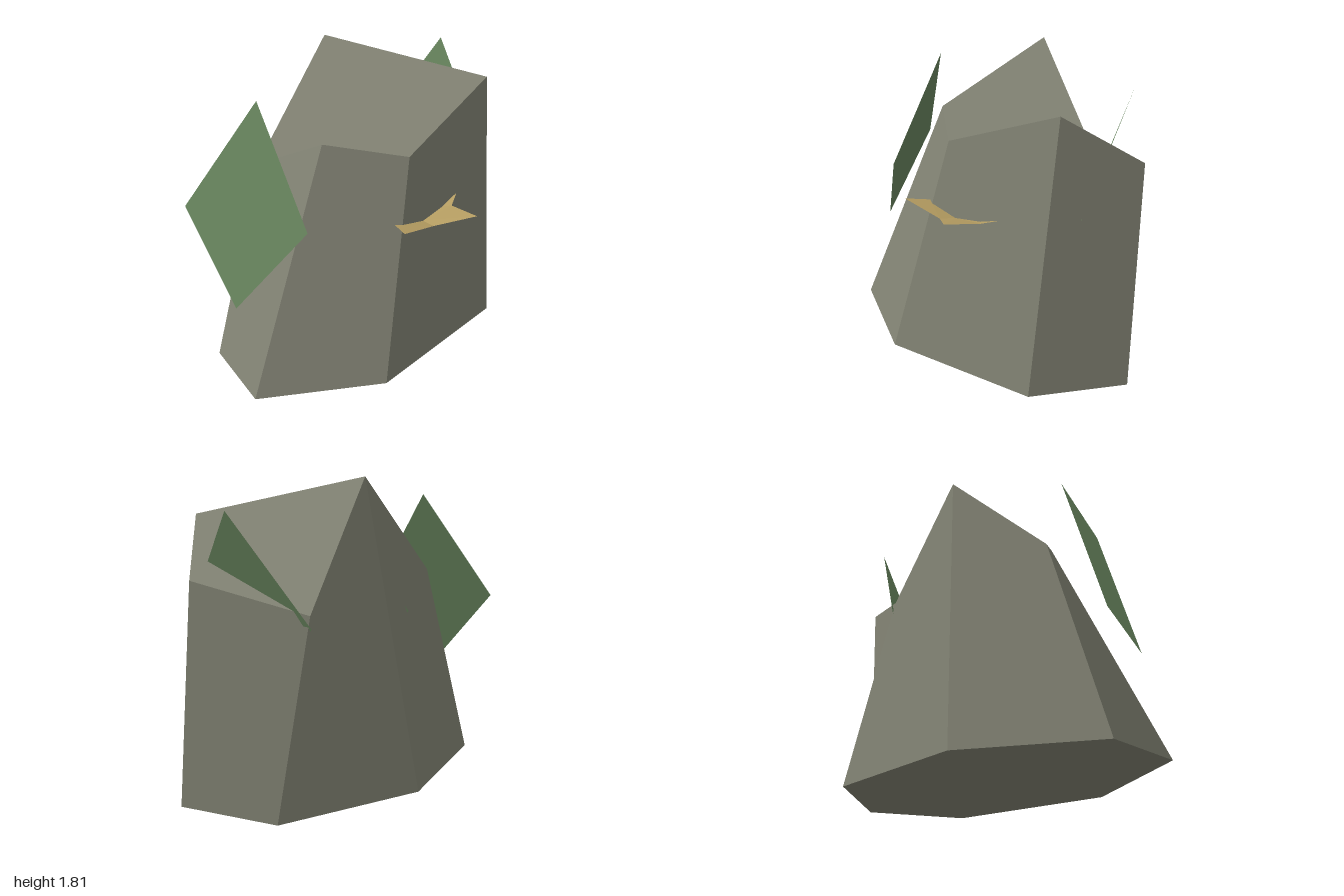
import * as THREE from 'three';

const stone = new THREE.MeshStandardMaterial({ color: 0x828374 });
stone.name = 'stone';
const leafGreen = new THREE.MeshStandardMaterial({ color: 0x69865f, side: THREE.DoubleSide });
leafGreen.name = 'leafGreen';
const fungusTan = new THREE.MeshStandardMaterial({ color: 0xb69e62, side: THREE.DoubleSide });
fungusTan.name = 'fungusTan';

// One facet: a polygon cut into triangles that share one averaged normal
function facet(points, material, name, tris) {
  const p = points.map((c) => new THREE.Vector3(...c));
  const cuts = tris ?? p.slice(2).map((_, i) => [0, i + 1, i + 2]);
  const n = new THREE.Vector3();
  p.forEach((a, i) => n.add(a.clone().cross(p[(i + 1) % p.length])));
  n.normalize();
  const geometry = new THREE.BufferGeometry().setFromPoints(p);
  geometry.setAttribute('normal', new THREE.Float32BufferAttribute(p.flatMap(() => n.toArray()), 3));
  geometry.setIndex(cuts.flat());
  const mesh = new THREE.Mesh(geometry, material);
  mesh.name = name;
  return mesh;
}

// Boulder: seven leaning walls between an uneven foot and an uneven rim
function buildRock() {
  const foot = [
    [-1, 0, 0.13], [-0.34, 0, 0.54], [0.64, 0, 0.46], [1, 0, 0],
    [0.71, 0, -0.52], [-0.18, 0, -0.68], [-0.93, 0, -0.35],
  ];
  const rim = [
    [-0.37, 1.41, 0.03], [-0.02, 1.34, 0.36], [0.68, 1.59, 0.28], [0.96, 1.3, -0.11],
    [0.44, 1.1, -0.46], [0.04, 1.81, -0.43], [-0.56, 1.22, -0.32],
  ];
  const rock = new THREE.Group();
  rock.name = 'rock';
  foot.forEach((f, i) => {
    const j = (i + 1) % foot.length;
    rock.add(facet([f, foot[j], rim[j], rim[i]], stone, 'rockWall'));
  });
  rock.add(facet(rim, stone, 'rockTop', [[5, 6, 0], [5, 0, 1], [5, 1, 2], [5, 2, 4], [2, 3, 4]]));
  rock.add(facet([...foot].reverse(), stone, 'rockBase'));
  return rock;
}

// Row of identical leaf plates, two of them partly sunk into the rock
function buildLeaves() {
  const leaves = new THREE.Group();
  leaves.name = 'leaves';
  for (let i = 0; i < 3; i++) {
    const leaf = facet(
      [[-0.97, 1.03, -0.476], [-0.96, 0.54, -0.05], [-0.63, 1.03, 0.21], [-0.61, 1.66, -0.22]],
      leafGreen, 'leaf');
    leaf.position.x = i * 0.707;
    leaves.add(leaf);
  }
  return leaves;
}

// Jagged shelf fungus on the front wall
function buildFungus() {
  const a = [-0.21, 1.0, 0.53], b = [0.04, 0.935, 0.51], c = [0.22, 1.0, 0.67];
  const d = [0.27, 0.94, 0.43], e = [0.36, 0.965, 0.38];
  const f = [0.22, 0.925, 0.37], g = [0.06, 0.91, 0.4], h = [-0.15, 0.965, 0.385];
  const fungus = new THREE.Group();
  fungus.name = 'shelfFungus';
  for (const tri of [[a, b, h], [b, g, h], [b, c, g], [c, d, g], [g, d, f], [d, e, f]]) {
    fungus.add(facet(tri, fungusTan, 'fungusFacet'));
  }
  return fungus;
}

export function createModel() {
  const model = new THREE.Group();
  model.name = 'mossyRock';
  model.add(buildRock(), buildLeaves(), buildFungus());
  return model;
}
